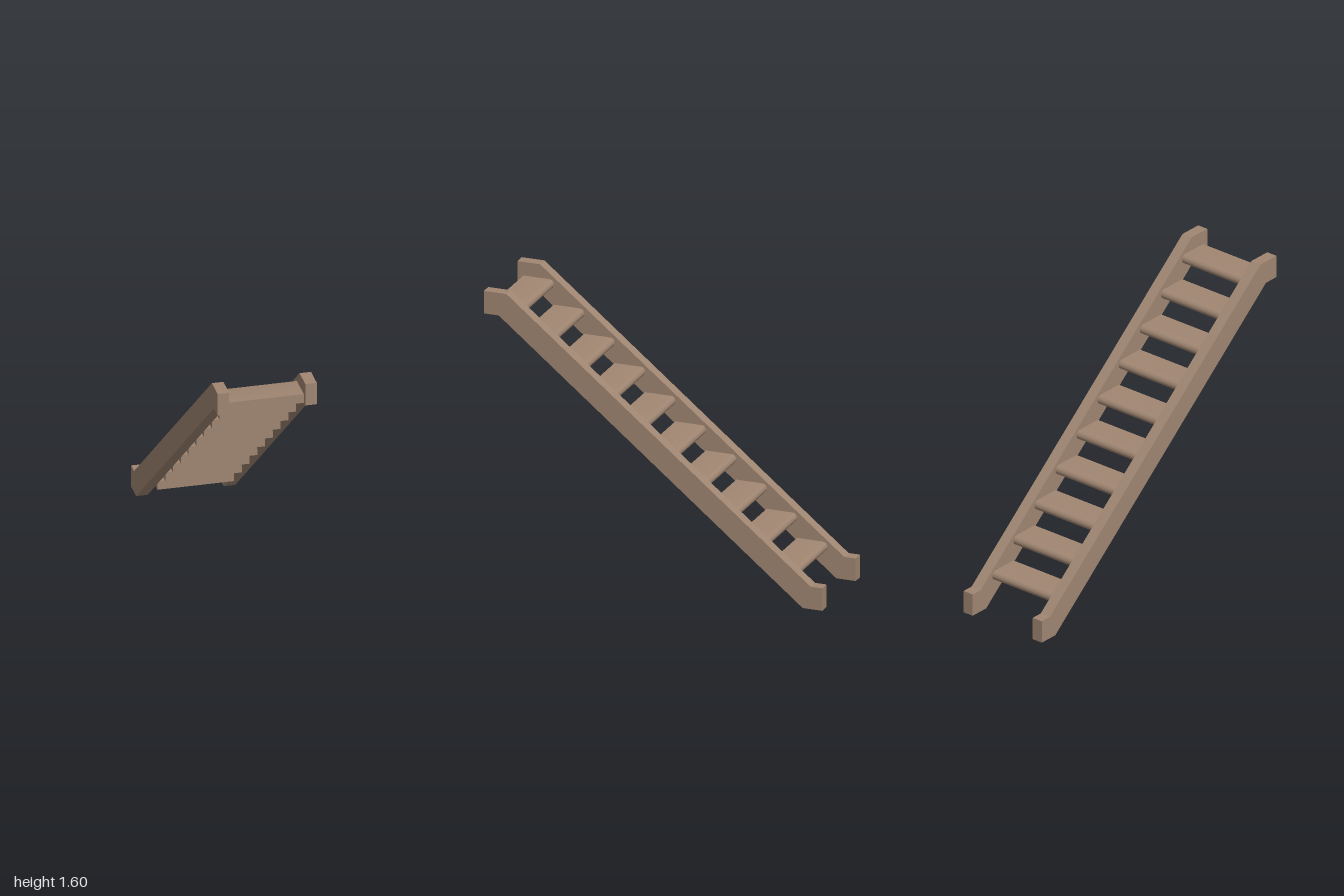
import * as THREE from 'three';
import { toCreasedNormals } from 'three/addons/utils/BufferGeometryUtils.js';

const wood = new THREE.MeshStandardMaterial({ color: 0xa08672 });
wood.name = 'brown wood';

// Extrude a side profile, drawn as (-z, y), across x and centre it on x = 0
function extrudeAcross(shape, width) {
  const geometry = new THREE.ExtrudeGeometry(shape, { depth: width, bevelEnabled: false, curveSegments: 12 });
  geometry.rotateY(Math.PI / 2);
  geometry.translate(-width / 2, 0, 0);
  return geometry;
}

export function createModel() {
  const stairs = new THREE.Group();
  stairs.name = 'staircase';

  // Sloping side beams with level ends
  const profile = [
    [1, 0], [1, 0.132], [0.932, 0.132], [-0.866, 1.595],
    [-1, 1.595], [-1, 1.463], [-0.912, 1.463], [0.885, 0],
  ].map(([x, y]) => new THREE.Vector2(x, y));
  const beam = extrudeAcross(new THREE.Shape(profile), 0.065);
  for (const side of [1, -1]) {
    const stringer = new THREE.Mesh(beam, wood);
    stringer.name = side > 0 ? 'leftStringer' : 'rightStringer';
    stringer.position.x = side * 0.2475;
    stairs.add(stringer);
  }

  // Treads with a rounded nosing towards the climber
  const thickness = 0.054, depth = 0.18, r = thickness / 2;
  const section = new THREE.Shape();
  section.moveTo(0, 0);
  section.lineTo(depth - r, 0);
  section.absarc(depth - r, r, r, -Math.PI / 2, Math.PI / 2, false);
  section.lineTo(0, thickness);
  section.closePath();
  const board = toCreasedNormals(extrudeAcross(section, 0.432), Math.PI / 6);
  for (let i = 0; i < 10; i++) {
    const tread = new THREE.Mesh(board, wood);
    tread.name = `tread${i + 1}`;
    tread.position.set(0, 0.15 + i * 0.1457, -0.653 + i * 0.1797);
    stairs.add(tread);
  }
  return stairs;
}
